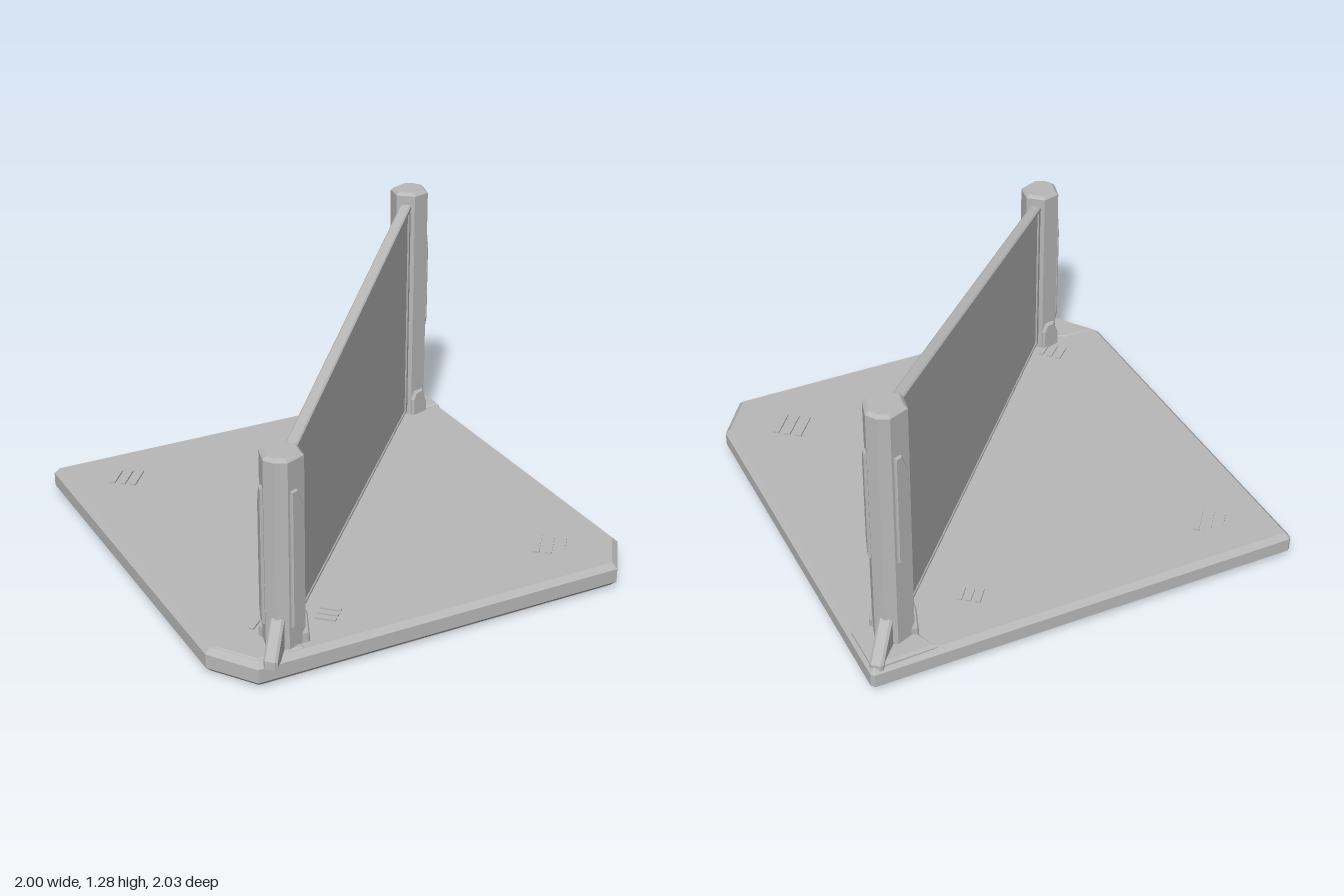
import * as THREE from 'three';

const metal = new THREE.MeshStandardMaterial({ color: 0xb8b8b8, flatShading: true });
metal.name = 'plain grey';

function add(parent, name, geometry) {
  const mesh = new THREE.Mesh(geometry, metal);
  mesh.name = name;
  parent.add(mesh);
  return mesh;
}

// Outline in plan (x, z) raised from y0 to y1 with chamfered rims
function slab(outline, y0, y1, bevel = 0, hole = null) {
  const toPoints = (list) => list.map(([x, z]) => new THREE.Vector2(x, -z));
  const shape = new THREE.Shape(toPoints(outline));
  if (hole) shape.holes.push(new THREE.Path(toPoints(hole)));
  const g = new THREE.ExtrudeGeometry(shape, {
    depth: y1 - y0 - 2 * bevel, bevelEnabled: bevel > 0, bevelSegments: 1,
    bevelSize: bevel, bevelThickness: bevel, bevelOffset: -bevel,
  });
  return g.rotateX(-Math.PI / 2).translate(0, y0 + bevel, 0);
}

// Side profile (x, y) extruded across z, centred
function profile(points, thickness, bevel = 0) {
  const shape = new THREE.Shape(points.map(([x, y]) => new THREE.Vector2(x, y)));
  const g = new THREE.ExtrudeGeometry(shape, {
    depth: thickness - 2 * bevel, bevelEnabled: bevel > 0, bevelSegments: 1,
    bevelSize: bevel, bevelThickness: bevel, bevelOffset: -bevel,
  });
  return g.translate(0, 0, -thickness / 2 + bevel);
}

// Post with its own +x pointing away from the panel
function makePost(name, height, finReach, plateLow, plateHigh) {
  const post = new THREE.Group();
  post.name = name;
  const hex = [[-0.085, -0.045], [-0.01, -0.092], [0.075, -0.05], [0.09, 0], [0.075, 0.05], [-0.01, 0.092], [-0.085, 0.045]];
  add(post, 'postColumn', slab(hex, 0.09, height, 0.014));
  // Buttress behind the post
  add(post, 'postFin', profile(
    [[0.03, 0.09], [finReach, 0.09], [finReach, 0.125], [0.085, 0.265], [0.03, 0.265]], 0.06, 0.01));
  for (const side of [-1, 1]) {
    // Armour plate on the outer flank
    const flank = new THREE.Group();
    flank.name = 'flankArmour';
    flank.position.set(0.034, 0, side * 0.071);
    flank.rotation.y = side * Math.atan2(0.042, 0.085);
    add(flank, 'armourPlate', profile([
      [-0.035, plateLow + 0.05], [-0.01, plateLow], [0.035, plateLow],
      [0.035, plateHigh], [0.0, plateHigh], [-0.035, plateHigh - 0.09],
    ], 0.022, 0.005));
    post.add(flank);
    // Foot on the side next to the panel
    const foot = add(post, 'postFoot', profile(
      [[-0.05, 0.09], [0.05, 0.09], [0.05, 0.16], [0.02, 0.24], [-0.03, 0.24], [-0.05, 0.2]], 0.04, 0.008));
    foot.position.set(-0.042, 0, side * 0.068);
    foot.rotation.y = -side * 0.56;
  }
  return post;
}

export function createModel() {
  const model = new THREE.Group();
  model.name = 'cornerBarrier';

  // Base: chamfered rim around a slightly sunken floor
  const base = new THREE.Group();
  base.name = 'base';
  model.add(base);
  const outer = [[-0.985, -1], [0.985, -1], [1, -0.985], [1, 0.8], [0.86, 1], [-0.86, 1], [-1, 0.8], [-1, -0.985]];
  const inner = [
    [-0.78, -0.84], [-0.64, -0.84], [-0.58, -0.91], [0.6, -0.91], [0.72, -0.81], [0.91, -0.62],
    [0.91, 0.33], [0.84, 0.43], [0.84, 0.7], [0.73, 0.82], [0.46, 0.83], [0.4, 0.89],
    [-0.18, 0.9], [-0.24, 0.88], [-0.72, 0.88], [-0.82, 0.74], [-0.82, 0.42], [-0.92, 0.33], [-0.92, -0.68],
  ];
  add(base, 'baseRim', slab(outer, 0.005, 0.116, 0.024, inner));
  add(base, 'baseFloor', slab(outer.map(([x, z]) => [x * 0.972, z * 0.972]), 0, 0.104));

  // Raised corner pieces under the posts
  add(base, 'backCornerPlate', slab(
    [[0.7, -0.98], [0.965, -0.985], [0.985, -0.965], [0.985, -0.75], [0.86, -0.75], [0.75, -0.86]], 0.06, 0.13, 0.012));
  add(base, 'frontCornerPlate', slab(
    [[-0.97, 0.8], [-0.85, 0.972], [-0.64, 0.972], [-0.64, 0.86], [-0.82, 0.8]], 0.06, 0.122, 0.01));

  // Small vents: three slanted bars each [x, z, length, spacing, angle]
  const vents = [
    [-0.72, -0.76, 0.14, 0.05, 0.9], [0.44, -0.74, 0.08, 0.04, 0.9], [0.7, 0.71, 0.15, 0.055, 0.9],
    [-0.43, 0.77, 0.09, 0.04, -0.75], [-0.7, 0.73, 0.1, 0.045, 0.75],
  ];
  for (const [x, z, length, gap, angle] of vents) {
    const vent = new THREE.Group();
    vent.name = 'floorVent';
    vent.position.set(x, 0.106, z);
    vent.rotation.y = angle;
    for (const i of [-1, 0, 1]) {
      add(vent, 'ventBar', new THREE.BoxGeometry(length, 0.012, gap * 0.55)).position.z = i * gap;
    }
    base.add(vent);
  }

  // Diagonal barrier: local x runs from the low post to the high post
  const low = new THREE.Vector2(-0.69, 0.875), high = new THREE.Vector2(0.83, -0.82);
  const span = low.distanceTo(high);
  const barrier = new THREE.Group();
  barrier.name = 'barrier';
  barrier.position.set(low.x, 0, low.y);
  barrier.rotation.y = Math.atan2(low.y - high.y, high.x - low.x);
  model.add(barrier);

  const lowPost = makePost('lowPost', 0.97, 0.19, 0.22, 0.83);
  lowPost.rotation.y = Math.PI;
  const highPost = makePost('highPost', 1.285, 0.215, 0.56, 1.08);
  highPost.position.x = span;
  barrier.add(lowPost, highPost);

  // Sloping panel with a slim frame
  const a = 0.06, b = span - 0.06, bottom = 0.128, topA = 0.905, topB = 1.222;
  const at = (x) => topA + (topB - topA) * (x - a) / (b - a);
  add(barrier, 'panel', profile([[a, bottom + 0.005], [b, bottom + 0.005], [b, topB - 0.01], [a, topA - 0.01]], 0.036));
  add(barrier, 'panelTopRail', profile([[a, topA - 0.02], [b, topB - 0.02], [b, topB + 0.008], [a, topA + 0.008]], 0.052, 0.006));
  add(barrier, 'panelBottomRail', profile([[a, bottom], [b, bottom], [b, bottom + 0.018], [a, bottom + 0.018]], 0.046, 0.004));
  for (const [x0, x1] of [[a, a + 0.055], [b - 0.055, b]]) {
    add(barrier, 'panelEndRail', profile([[x0, bottom], [x1, bottom], [x1, at(x1)], [x0, at(x0)]], 0.05, 0.005));
  }
  return model;
}
